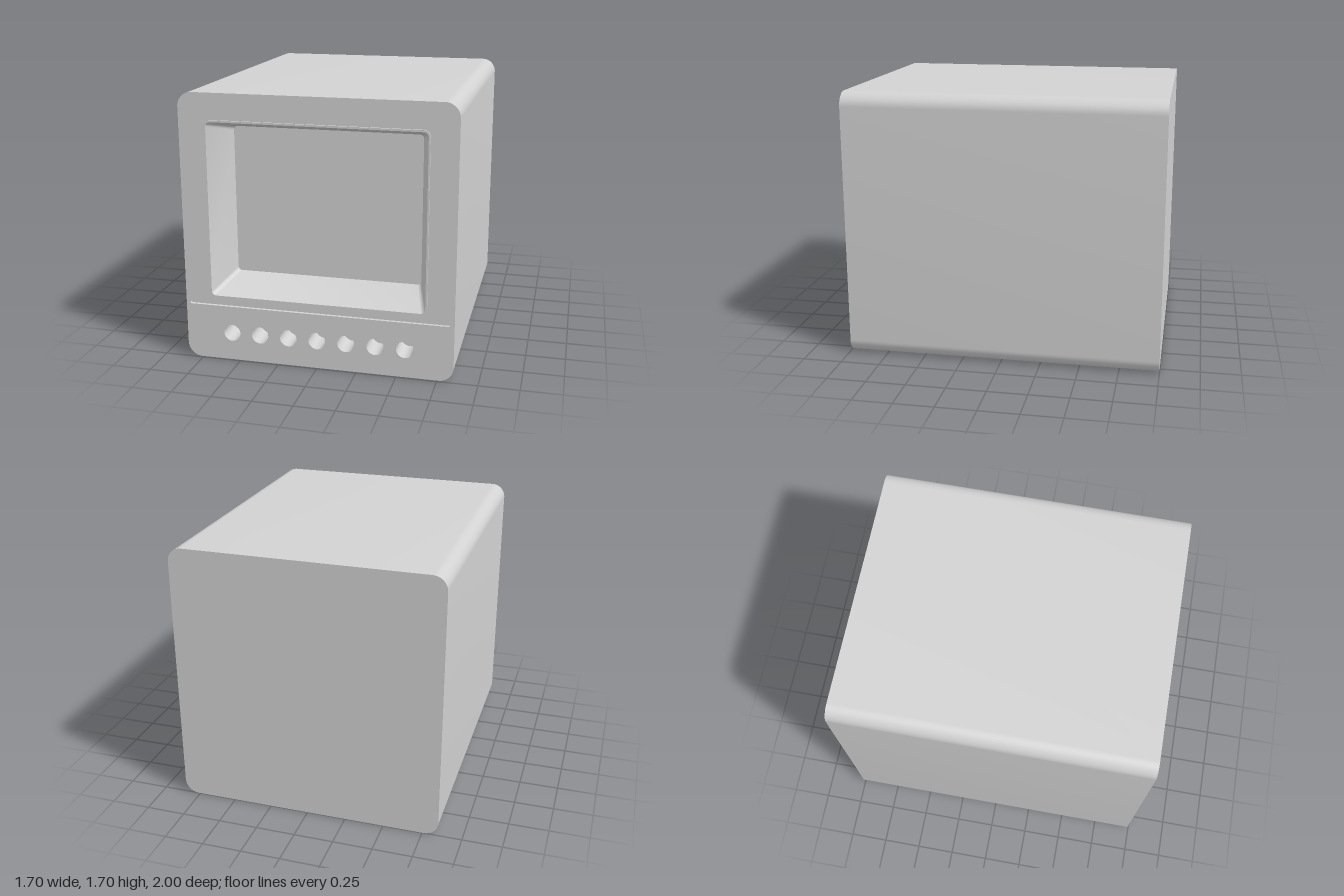
import * as THREE from 'three';
import { toCreasedNormals } from 'three/addons/utils/BufferGeometryUtils.js';

// Counter-clockwise rounded rectangle as a list of points
function roundRect(cx, cy, w, h, r, steps = 10) {
  const points = [];
  const corners = [[1, 1], [-1, 1], [-1, -1], [1, -1]];
  corners.forEach(([sx, sy], i) => {
    for (let k = 0; k <= steps; k++) {
      const a = (i + k / steps) * Math.PI / 2;
      points.push(new THREE.Vector2(
        cx + sx * (w / 2 - r) + r * Math.cos(a),
        cy + sy * (h / 2 - r) + r * Math.sin(a)));
    }
  });
  return points;
}

function circle(cx, cy, r, n = 40) {
  return Array.from({ length: n }, (_, i) => {
    const a = i / n * Math.PI * 2;
    return new THREE.Vector2(cx + r * Math.cos(a), cy + r * Math.sin(a));
  });
}

// Wall between two outlines; inward makes it face the middle
function wall(back, zBack, front, zFront, inward = false) {
  const n = back.length, position = [], index = [];
  back.forEach(p => position.push(p.x, p.y, zBack));
  front.forEach(p => position.push(p.x, p.y, zFront));
  for (let i = 0; i < n; i++) {
    const j = (i + 1) % n;
    if (inward) index.push(i, n + j, j, i, n + i, n + j);
    else index.push(i, j, n + j, i, n + j, n + i);
  }
  const geometry = new THREE.BufferGeometry();
  geometry.setAttribute('position', new THREE.Float32BufferAttribute(position, 3));
  geometry.setIndex(index);
  return toCreasedNormals(geometry, 0.6);
}

// Flat face with optional holes, facing +z
function face(outline, z, holes = []) {
  const shape = new THREE.Shape(outline);
  holes.forEach(h => shape.holes.push(new THREE.Path(h)));
  return new THREE.ShapeGeometry(shape).translate(0, 0, z);
}

export function createModel() {
  const model = new THREE.Group();
  model.name = 'monitor';
  const grey = new THREE.MeshStandardMaterial({ color: 0xd2d2d2 });
  grey.name = 'light grey';

  function add(name, geometry, parent = model) {
    const mesh = new THREE.Mesh(geometry, grey);
    mesh.name = name;
    parent.add(mesh);
    return mesh;
  }

  const zFront = 0.988, zRim = 1, zBack = -1;
  const body = roundRect(0, 0.85, 1.7, 1.7, 0.09, 16);
  const rimOuter = roundRect(0, 0.976, 1.366, 1.122, 0.04);
  const rimInner = roundRect(0, 0.976, 1.346, 1.098, 0.03);
  const screen = roundRect(0, 0.976, 1.2, 0.95, 0.025);
  const groove = roundRect(0, 0.364, 1.65, 0.018, 0.008, 4);
  const sockets = [];
  for (let i = -3; i <= 3; i++) sockets.push(circle(i * 0.184, 0.18, 0.054));

  // Housing
  add('housingSides', wall(body, zBack, body, zFront));
  add('backPanel', face(body, 1).rotateY(Math.PI));
  add('frontPanel', face(body, zFront, [rimInner, groove, ...sockets]));

  // Raised rim and tapered screen recess
  add('rimEdge', wall(rimOuter, zFront, rimOuter, zRim));
  add('rimFace', face(rimOuter, zRim, [rimInner]));
  add('screenRecess', wall(screen, 0.71, rimInner, zRim, true));
  add('screen', face(screen, 0.71));

  // Blind cut-outs in the front panel
  function pocket(name, outline, depth) {
    const group = new THREE.Group();
    group.name = name;
    add(name + 'Wall', wall(outline, zFront - depth, outline, zFront, true), group);
    add(name + 'Floor', face(outline, zFront - depth), group);
    model.add(group);
  }
  pocket('groove', groove, 0.02);
  sockets.forEach(s => pocket('buttonSocket', s, 0.18));

  return model;
}
